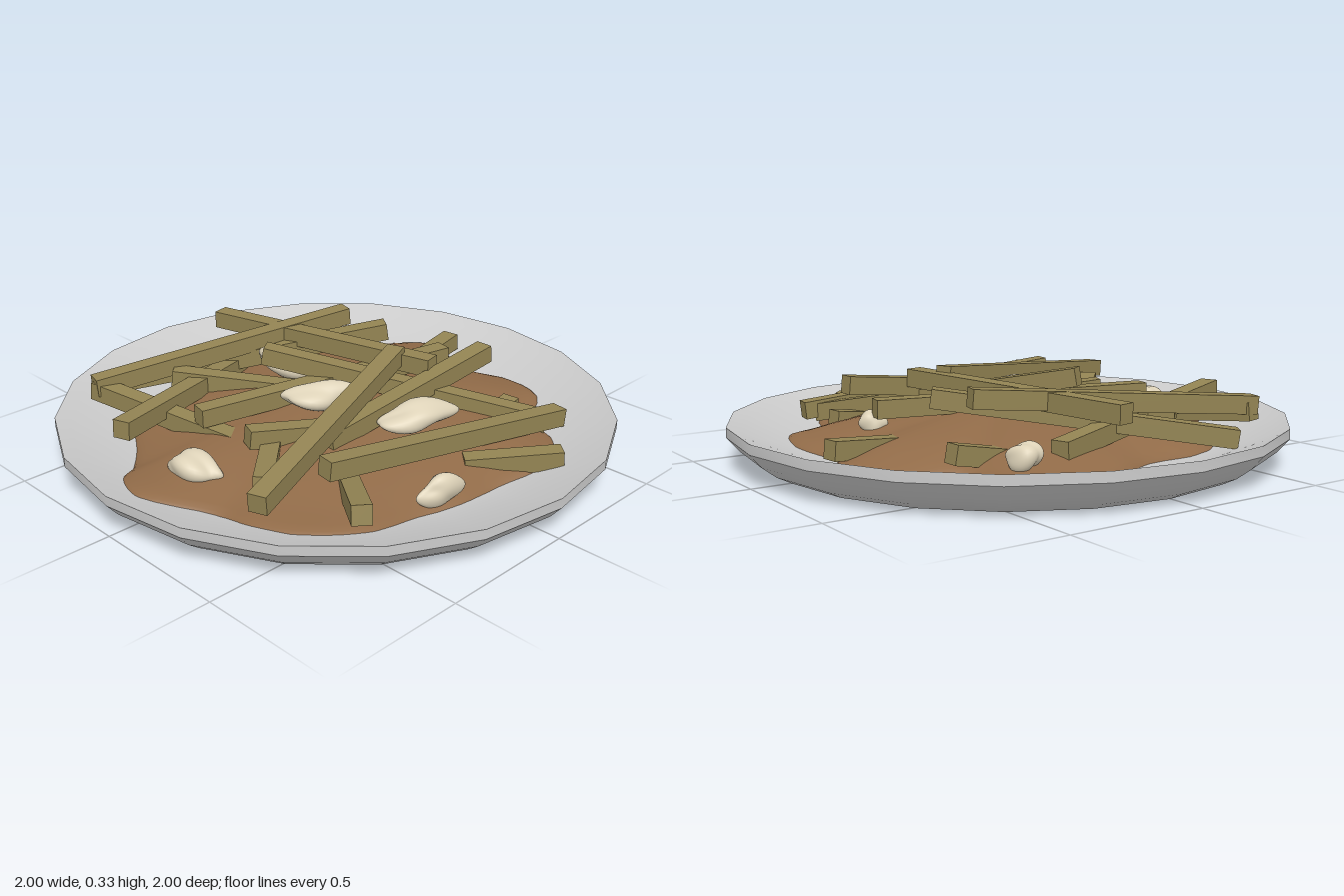
import * as THREE from 'three';
import { toCreasedNormals, mergeVertices } from 'three/addons/utils/BufferGeometryUtils.js';

const mat = (color, side = THREE.FrontSide) => new THREE.MeshStandardMaterial({ color, side });

// Height of the dish's inner surface at radius r
const dishY = (r) => (r < 0.7 ? 0.05 : 0.05 + 0.095 * Math.pow(Math.min(1, (r - 0.7) / 0.3), 1.3));

function makePlate() {
  const profile = [[0, 0], [0.86, 0], [0.91, 0.025], [0.96, 0.063], [1, 0.11], [1, 0.145]];
  for (const r of [0.95, 0.9, 0.84, 0.77, 0.7, 0]) profile.push([r, dishY(r)]);
  const geo = new THREE.LatheGeometry(profile.map(([x, y]) => new THREE.Vector2(x, y)), 20);
  const plate = new THREE.Mesh(toCreasedNormals(geo, 0.62), mat(0xcccccc));
  plate.name = 'plate';
  return plate;
}

// Puddle of sauce: rings shrinking from a wavy outline to a raised middle
function makeGravy() {
  const outline = [
    [-0.89, 0.02], [-0.85, -0.13], [-0.76, -0.2], [-0.66, -0.32], [-0.52, -0.52], [-0.4, -0.61],
    [-0.13, -0.62], [0.06, -0.7], [0.35, -0.73], [0.45, -0.64], [0.49, -0.45], [0.65, -0.37],
    [0.77, -0.21], [0.75, -0.1], [0.69, 0.01], [0.73, 0.2], [0.68, 0.4], [0.5, 0.5], [0.44, 0.64],
    [0.27, 0.76], [0.03, 0.72], [-0.13, 0.71], [-0.29, 0.67], [-0.5, 0.64], [-0.63, 0.56],
    [-0.73, 0.37], [-0.75, 0.23],
  ].map(([x, z]) => new THREE.Vector3(x, 0, z));
  const N = 108;
  const edge = new THREE.CatmullRomCurve3(outline, true).getPoints(N);
  const rings = [0.001, 0.15, 0.3, 0.45, 0.6, 0.72, 0.82, 0.9, 0.95, 0.985, 1];
  const pos = [], index = [];
  rings.forEach((t, j) => {
    for (let i = 0; i < N; i++) {
      const x = edge[i].x * t, z = edge[i].z * t;
      const ripple = 0.008 * Math.sin(8 * x + 1) * Math.cos(7 * z) * (1 - t);
      pos.push(x, dishY(Math.hypot(x, z)) + 0.035 * Math.sqrt(1 - t ** 6) + 0.095 * (1 - t * t) + ripple, z);
      if (j === 0) continue;
      const k = (i + 1) % N, a = (j - 1) * N, b = j * N;
      index.push(a + i, b + k, b + i, a + i, a + k, b + k);
    }
  });
  const geo = new THREE.BufferGeometry();
  geo.setAttribute('position', new THREE.Float32BufferAttribute(pos, 3));
  geo.setIndex(index);
  geo.computeVertexNormals();
  const gravy = new THREE.Mesh(geo, mat(0x916b48, THREE.DoubleSide));
  gravy.name = 'gravy';
  return gravy;
}

// Square stick from one end point to the other
function makeFry([x1, y1, z1, x2, y2, z2], material) {
  const a = new THREE.Vector3(x1, y1, z1), b = new THREE.Vector3(x2, y2, z2);
  const fry = new THREE.Mesh(new THREE.BoxGeometry(0.065, 0.065, a.distanceTo(b)), material);
  fry.position.copy(a).lerp(b, 0.5);
  fry.lookAt(b);
  fry.name = 'fry';
  return fry;
}

// Lumpy rounded curd, pushed in and out by a few sine waves
function makeCurd([x, y, z, length, width, turn], seed, material) {
  let geo = new THREE.IcosahedronGeometry(1, 6);
  geo.deleteAttribute('uv');
  geo.deleteAttribute('normal');
  geo = mergeVertices(geo);
  const p = geo.attributes.position, v = new THREE.Vector3();
  for (let i = 0; i < p.count; i++) {
    v.fromBufferAttribute(p, i);
    const lump = 1 + 0.13 * Math.sin(3 * v.x + 2 * v.y + seed * 1.7) + 0.1 * Math.sin(4 * v.z - 2 * v.x + seed);
    const taper = 1 - 0.3 * v.x * v.x;
    p.setXYZ(i, v.x * lump, v.y * lump * taper, v.z * lump * taper + 0.25 * v.x * v.x * v.x);
  }
  geo.scale(length / 2, 0.05, width / 2);
  geo.computeVertexNormals();
  const curd = new THREE.Mesh(geo, material);
  curd.position.set(x, y, z);
  curd.rotation.y = turn;
  curd.name = 'cheeseCurd';
  return curd;
}

export function createModel() {
  const group = new THREE.Group();
  group.name = 'plateOfFries';
  group.add(makePlate(), makeGravy());

  // Fries: x, y, z of both ends
  const fryMat = mat(0x938453);
  const fries = new THREE.Group();
  fries.name = 'fries';
  [
    [-0.42, 0.12, -0.73, 0.42, 0.26, -0.15],
    [-0.62, 0.2, -0.61, 0.39, 0.28, -0.34],
    [-0.6, 0.18, -0.63, -0.42, 0.11, 0.04],
    [0.06, 0.25, -0.72, 0.26, 0.27, 0.23],
    [-0.13, 0.295, -0.24, 0.46, 0.11, 0.6],
    [-0.35, 0.19, -0.5, 0.1, 0.12, 0],
    [-0.51, 0.2, -0.15, 0.51, 0.2, 0.07],
    [-0.48, 0.19, 0.07, 0.03, 0.13, 0.27],
    [-0.64, 0.17, 0.33, -0.33, 0.12, 0.03],
    [-0.76, 0.2, 0.44, 0.22, 0.29, 0.09],
    [-0.3, 0.18, 0.26, 0.52, 0.26, 0.26],
    [-0.5, 0.23, 0.46, 0.52, 0.12, 0.61],
    [-0.57, 0.19, 0.69, -0.32, 0.1, 0.37],
    [0.03, 0.09, 0.58, 0.28, 0.11, 0.8],
    [-0.76, 0.2, -0.25, 0.22, 0.13, -0.59],
    [0.78, 0.12, -0.12, 0.3, 0.08, -0.06],
    [0.52, 0.13, -0.43, 0.2, 0.07, -0.43],
    [0.49, 0.11, 0.42, 0.1, 0.06, 0.46],
  ].forEach((ends) => fries.add(makeFry(ends, fryMat)));
  group.add(fries);

  // Curds: x, y, z, length, width, turn
  const curdMat = mat(0xddd2b8);
  const curds = new THREE.Group();
  curds.name = 'cheeseCurds';
  [
    [0, 0.21, -0.27, 0.25, 0.14, -1.15],
    [-0.12, 0.22, 0.05, 0.26, 0.14, -0.4],
    [0.02, 0.2, 0.37, 0.27, 0.14, -0.25],
    [-0.67, 0.13, 0.02, 0.2, 0.12, -1.1],
    [0.36, 0.13, -0.59, 0.12, 0.09, -0.6],
    [0.5, 0.14, 0.11, 0.09, 0.07, -0.3],
    [-0.18, 0.11, 0.66, 0.17, 0.09, 0],
  ].forEach((spec, i) => curds.add(makeCurd(spec, i + 1, curdMat)));
  group.add(curds);
  return group;
}
